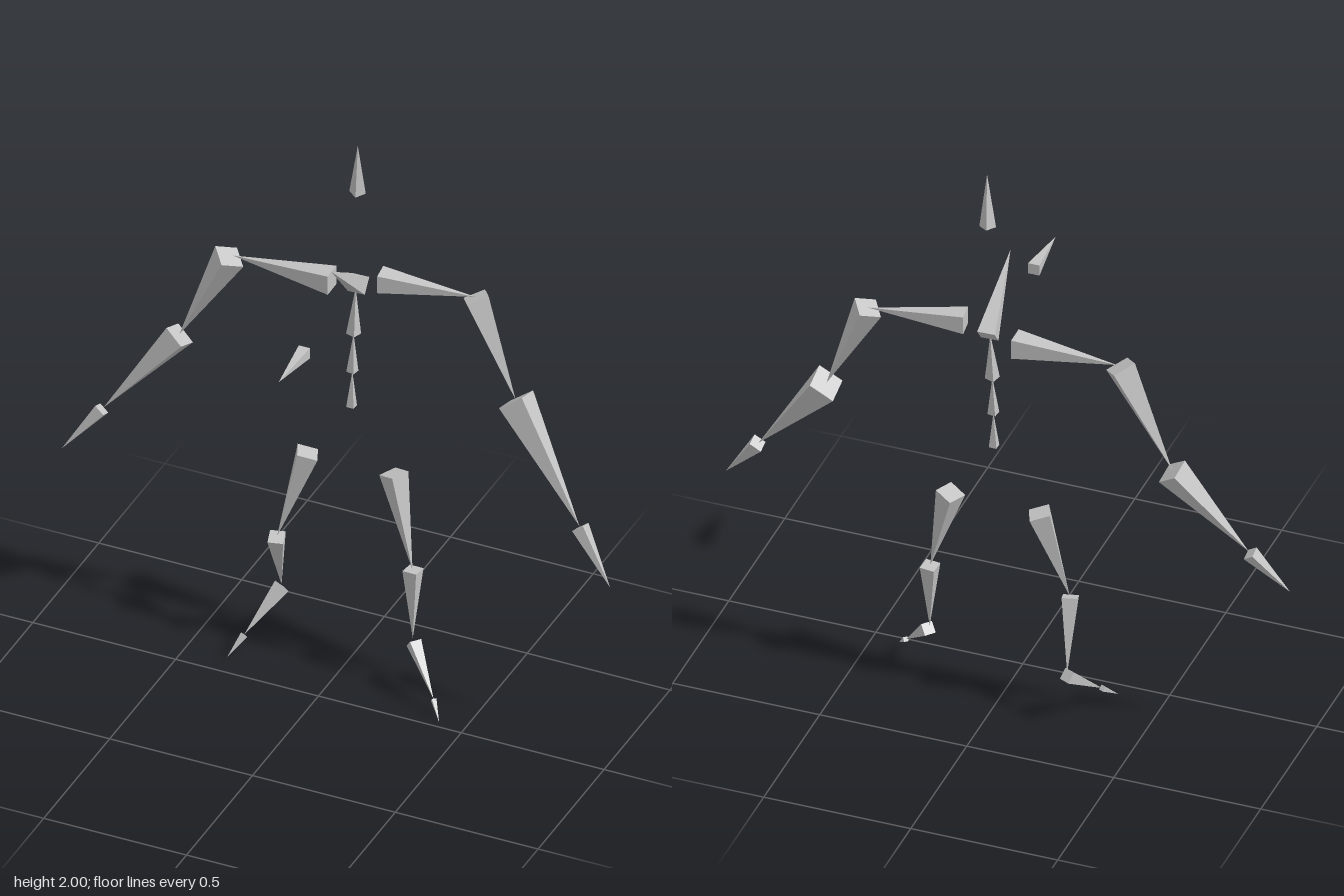
import * as THREE from 'three';

// Square-based pyramid from the centre of its base to its tip, as wide as a fifth of its length.
// roll turns the base about the bone's axis, in degrees.
function bone(name, base, tip, roll, material) {
  const b = new THREE.Vector3(...base);
  const d = new THREE.Vector3(...tip).sub(b);
  const length = d.length();
  d.normalize();

  const geometry = new THREE.ConeGeometry(length * 0.2 * Math.SQRT1_2, length, 4, 1);
  geometry.rotateY(Math.PI / 4);
  geometry.translate(0, length / 2, 0);

  const u = new THREE.Vector3(-d.z, 0, d.x).normalize();
  const v = new THREE.Vector3().crossVectors(u, d);
  if (v.y < 0) v.negate();
  const a = THREE.MathUtils.degToRad(roll);
  const x = u.multiplyScalar(Math.cos(a)).addScaledVector(v, Math.sin(a));
  const z = new THREE.Vector3().crossVectors(x, d);

  const mesh = new THREE.Mesh(geometry, material);
  mesh.name = name;
  mesh.quaternion.setFromRotationMatrix(new THREE.Matrix4().makeBasis(x, d, z));
  mesh.position.copy(b);
  return mesh;
}

export function createModel() {
  const model = new THREE.Group();
  model.name = 'boneRig';
  const grey = new THREE.MeshStandardMaterial({ color: 0xc4c4c4, flatShading: true });
  grey.name = 'boneGrey';

  // name, base centre, tip, roll
  const groups = {
    // Spine, neck and head markers
    torso: [
      ['lowerSpine', [0.012, 0.98, -0.225], [0.012, 1.11, -0.231], 0],
      ['middleSpine', [0.012, 1.11, -0.231], [0.013, 1.25, -0.238], 0],
      ['upperSpine', [0.013, 1.25, -0.238], [0.016, 1.42, -0.248], 0],
      ['neck', [0.018, 1.425, -0.265], [0.027, 1.612, -0.038], 0],
      ['headTop', [0.037, 1.81, -0.216], [0.045, 2.0, -0.201], -28],
      ['frontPointer', [0.02, 1.418, 0.15], [0.02, 1.42, 0.345], 0],
    ],
    leftArm: [
      ['leftCollarbone', [0.095, 1.465, -0.262], [0.412, 1.463, -0.302], 0],
      ['leftUpperArm', [0.412, 1.463, -0.302], [0.561, 1.125, -0.28], 45],
      ['leftForearm', [0.561, 1.125, -0.283], [0.827, 0.772, -0.188], 25],
      ['leftHand', [0.83, 0.77, -0.188], [0.957, 0.602, -0.14], 25],
    ],
    rightArm: [
      ['rightCollarbone', [-0.073, 1.415, -0.262], [-0.42, 1.415, -0.258], 0],
      ['rightUpperArm', [-0.43, 1.41, -0.255], [-0.607, 1.06, -0.26], 45],
      ['rightForearm', [-0.607, 1.055, -0.262], [-0.84, 0.757, -0.188], -30],
      ['rightHand', [-0.845, 0.75, -0.187], [-0.962, 0.598, -0.137], -30],
    ],
    leftLeg: [
      ['leftThigh', [0.16, 0.765, -0.225], [0.244, 0.442, -0.185], 0],
      ['leftShin', [0.244, 0.442, -0.188], [0.253, 0.195, -0.167], -27],
      ['leftFoot', [0.258, 0.182, -0.165], [0.371, 0.053, -0.07], 0],
      ['leftToe', [0.371, 0.053, -0.07], [0.411, 0.004, -0.025], 0],
    ],
    rightLeg: [
      ['rightThigh', [-0.142, 0.76, -0.225], [-0.231, 0.438, -0.187], 0],
      ['rightShin', [-0.232, 0.435, -0.185], [-0.253, 0.197, -0.268], 0],
      ['rightFoot', [-0.253, 0.19, -0.27], [-0.32, 0.07, -0.13], 0],
      ['rightToe', [-0.32, 0.07, -0.13], [-0.35, 0.015, -0.067], 0],
    ],
  };

  for (const [name, bones] of Object.entries(groups)) {
    const group = new THREE.Group();
    group.name = name;
    for (const [part, base, tip, roll] of bones) group.add(bone(part, base, tip, roll, grey));
    model.add(group);
  }
  return model;
}
